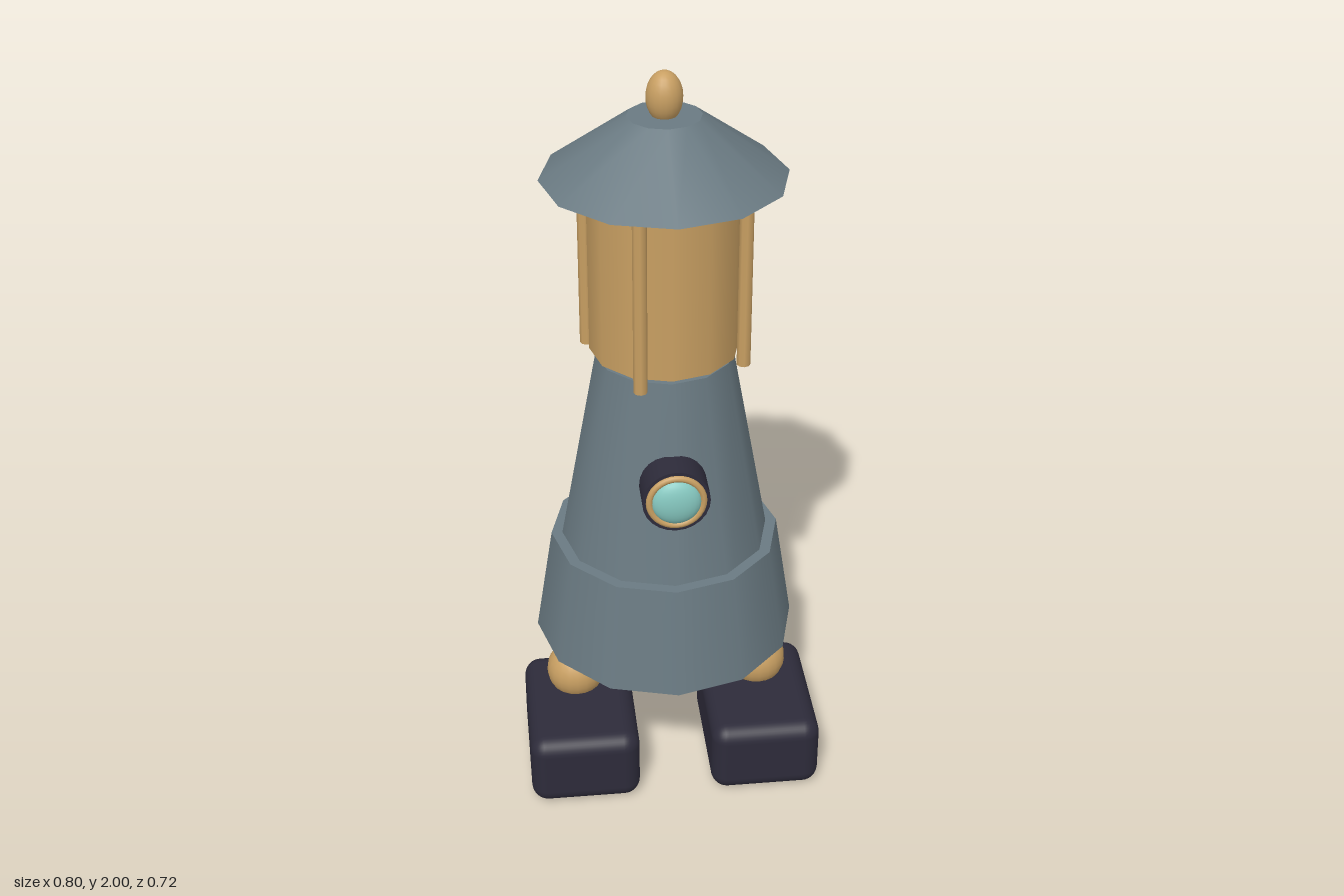
import * as THREE from 'three';
import { RoundedBoxGeometry } from 'three/addons/geometries/RoundedBoxGeometry.js';

const flat = (name, color) => {
  const m = new THREE.MeshStandardMaterial({ color });
  m.name = name;
  return m;
};

export function createModel() {
  const slate = flat('slate', 0x6a7a82);
  const brass = flat('brass', 0xc89f62);
  const dark = flat('dark', 0x2d2b3a);
  const glass = flat('glass', 0x86c8c0);

  const model = new THREE.Group();
  model.name = 'lanternWalker';

  const add = (name, geometry, material, x = 0, y = 0, z = 0, parent = model) => {
    const mesh = new THREE.Mesh(geometry, material);
    mesh.name = name;
    mesh.position.set(x, y, z);
    parent.add(mesh);
    return mesh;
  };
  // Upright tapered drum between two heights
  const drum = (name, material, rBottom, rTop, y0, y1, sides = 12) =>
    add(name, new THREE.CylinderGeometry(rTop, rBottom, y1 - y0, sides), material, 0, (y0 + y1) / 2);

  // Tower
  drum('skirt', slate, 0.358, 0.31, 0.38, 0.685);
  drum('body', slate, 0.332, 0.18, 0.4, 1.238);
  drum('lantern', brass, 0.195, 0.195, 1.255, 1.735);
  drum('roof', slate, 0.312, 0.094, 1.73, 1.888);
  add('finial', new THREE.SphereGeometry(0.046, 20, 14), brass, 0, 1.935, 0).scale.y = 1.42;

  // Four posts around the lantern
  for (let i = 0; i < 4; i++) {
    const a = Math.PI / 8 + (i * Math.PI) / 2;
    add('lanternPost', new THREE.CylinderGeometry(0.018, 0.018, 0.5, 8), brass,
      0.212 * Math.cos(a), 1.48, 0.212 * Math.sin(a));
  }

  // Porthole eye on the front
  const eye = new THREE.Group();
  eye.name = 'eye';
  eye.position.set(0, 0.957, 0);
  model.add(eye);
  add('eyeHousing', new THREE.CylinderGeometry(0.088, 0.088, 0.11, 24), dark, 0, 0, 0.236, eye)
    .rotation.x = Math.PI / 2;
  add('eyeRing', new THREE.TorusGeometry(0.07, 0.009, 8, 32), brass, 0, 0, 0.291, eye);
  add('eyeLens', new THREE.SphereGeometry(0.065, 24, 16), glass, 0, 0, 0.288, eye).scale.z = 0.45;

  // Legs, ankles and feet
  for (const side of [1, -1]) {
    const leg = new THREE.Group();
    leg.name = side > 0 ? 'leftLeg' : 'rightLeg';
    model.add(leg);
    const ankle = new THREE.Vector3(side * 0.257, 0.25, 0.052);
    const hip = new THREE.Vector3(side * 0.197, 0.48, -0.035);
    const dir = hip.clone().sub(ankle);
    const mid = ankle.clone().add(hip).multiplyScalar(0.5);
    add('shin', new THREE.CylinderGeometry(0.075, 0.069, dir.length(), 16), slate, mid.x, mid.y, mid.z, leg)
      .quaternion.setFromUnitVectors(new THREE.Vector3(0, 1, 0), dir.normalize());
    add('ankle', new THREE.SphereGeometry(0.081, 20, 14), brass, ankle.x, 0.255, ankle.z, leg);
    add('foot', new RoundedBoxGeometry(0.3, 0.212, 0.414, 4, 0.045), dark, side * 0.25, 0.106, 0.127, leg);
  }

  return model;
}
